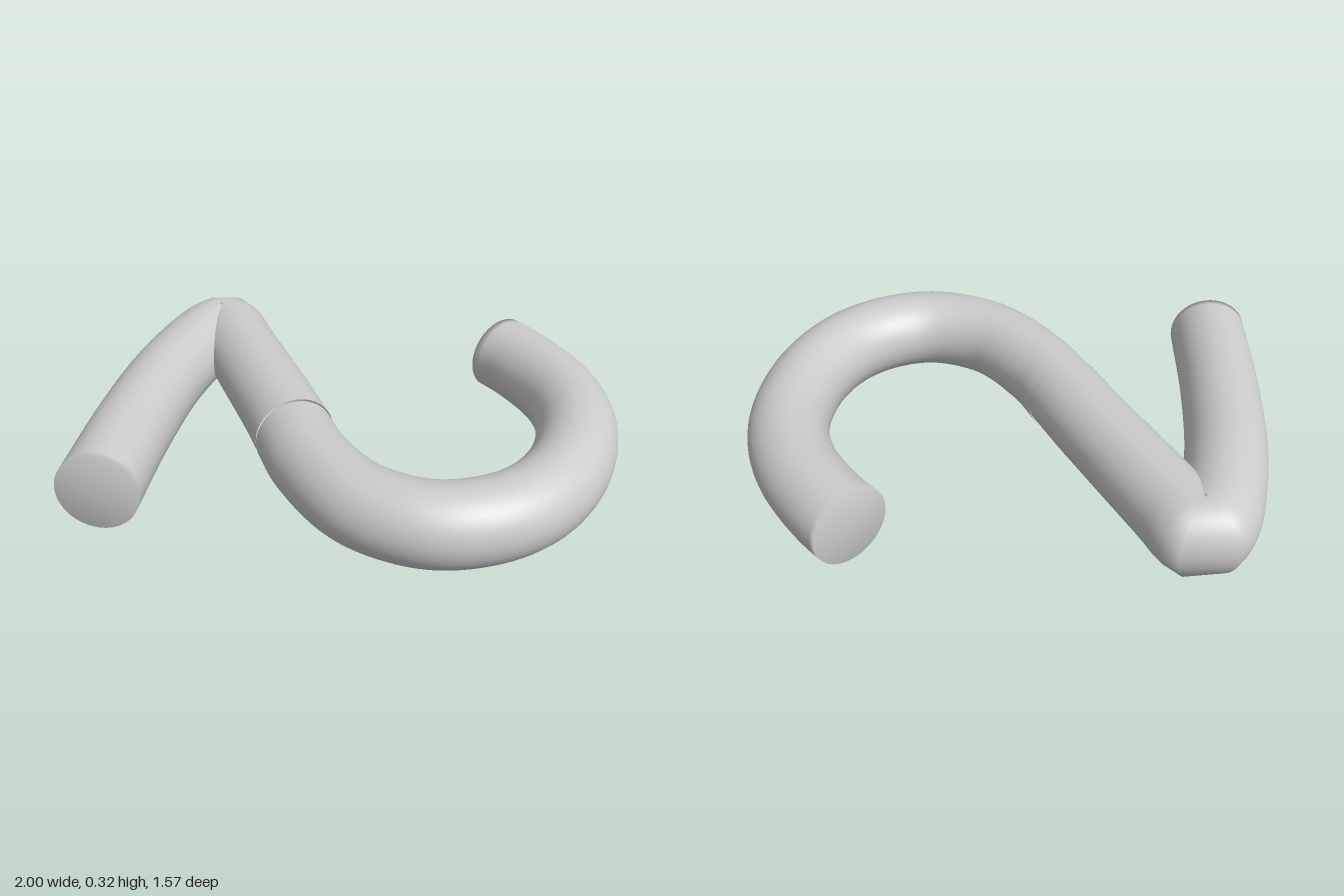
import * as THREE from 'three';
import { mergeVertices } from 'three/addons/utils/BufferGeometryUtils.js';

const RADIUS = 0.155;
const SIDES = 48;

// Round tube along [x, z] points at height y; the first point is the free, capped end
function makeTube(name, points, y, segments, material) {
  const curve = new THREE.CatmullRomCurve3(points.map(([x, z]) => new THREE.Vector3(x, y, z)));
  const tube = new THREE.TubeGeometry(curve, segments, RADIUS, SIDES, false);
  const positions = Array.from(tube.attributes.position.array);
  const index = Array.from(tube.index.array);

  // Flat cap sharing the rim, so the shading rolls softly over the edge
  const centre = positions.length / 3;
  positions.push(...curve.getPoint(0).toArray());
  const rim = new THREE.Vector3(), next = new THREE.Vector3(), mid = curve.getPoint(0);
  rim.fromArray(positions, 0).sub(mid);
  next.fromArray(positions, 3).sub(mid);
  const outward = rim.cross(next).dot(curve.getTangent(0)) < 0;
  for (let i = 0; i < SIDES; i++) {
    index.push(centre, ...(outward ? [i, i + 1] : [i + 1, i]));
  }

  let geometry = new THREE.BufferGeometry();
  geometry.setAttribute('position', new THREE.Float32BufferAttribute(positions, 3));
  geometry.setIndex(index);
  geometry = mergeVertices(geometry, 1e-5);
  geometry.computeVertexNormals();

  const mesh = new THREE.Mesh(geometry, material);
  mesh.name = name;
  return mesh;
}

export function createModel() {
  const group = new THREE.Group();
  group.name = 'bentTube';
  const material = new THREE.MeshStandardMaterial({ color: 0xcccccc, side: THREE.DoubleSide });

  // Straight arm with the tight hairpin bend, down to the joint
  group.add(makeTube('hairpinTube', [
    [-0.842, 0.64], [-0.847, 0.2], [-0.826, -0.2], [-0.772, -0.49], [-0.737, -0.59],
    [-0.69, -0.645], [-0.652, -0.61], [-0.61, -0.53], [-0.47, -0.285], [-0.317, -0.016], [-0.22, 0.165],
  ], 0.163, 80, material));

  // Wide hook, from its free end round to the joint
  group.add(makeTube('hookTube', [
    [0.525, -0.63], [0.605, -0.55], [0.752, -0.35], [0.825, -0.17], [0.845, 0.02], [0.8, 0.27],
    [0.69, 0.47], [0.53, 0.595], [0.33, 0.642], [0.086, 0.56], [-0.13, 0.325], [-0.22, 0.165],
  ], 0.155, 80, material));

  return group;
}
